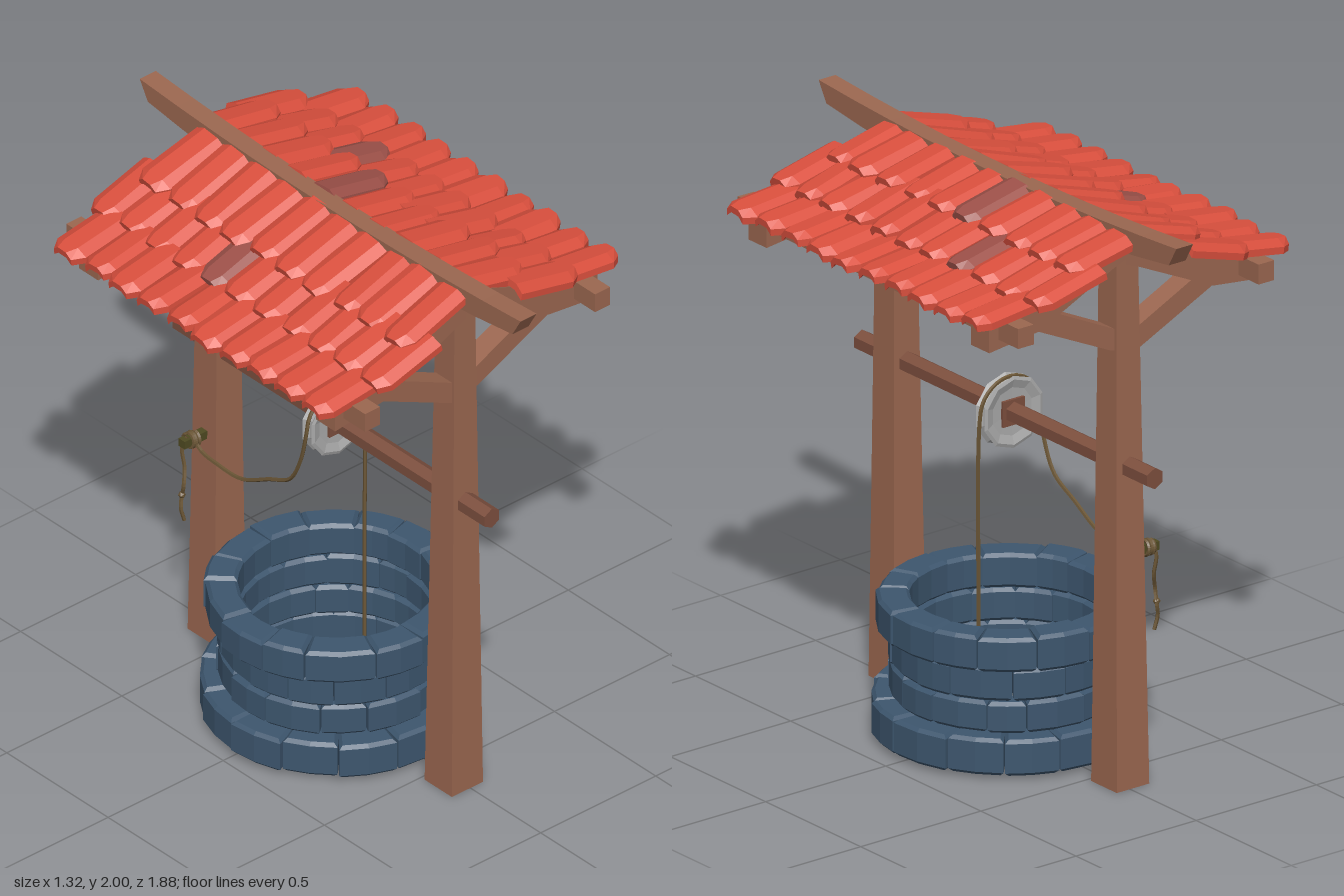
import * as THREE from 'three';

const mat = (color) => new THREE.MeshStandardMaterial({ color, flatShading: true });
const WOOD = mat(0x9b6750), DARK_WOOD = mat(0x7d4f3e), STONE = mat(0x3d566e), METAL = mat(0xaaaaaa);
const ROPE = mat(0x6b5636), CLEAT = mat(0x4f4a22), TILE = mat(0xd94f3d), OLD_TILE = mat(0x9c5048);

// small seeded generator, returns -1..1
let seed = 11;
const jitter = (a = 1) => {
  seed = (seed * 16807) % 2147483647;
  return (seed / 2147483647 * 2 - 1) * a;
};

function add(parent, name, geometry, material, x = 0, y = 0, z = 0) {
  const m = new THREE.Mesh(geometry, material);
  m.name = name;
  m.position.set(x, y, z);
  parent.add(m);
  return m;
}

const polygon = (pts) => new THREE.Shape(pts.map((p) => new THREE.Vector2(p[0], p[1])));

// flat outline extruded along z, centred on z = 0
function slab(pts, depth) {
  return new THREE.ExtrudeGeometry(polygon(pts), { depth, bevelEnabled: false }).translate(0, 0, -depth / 2);
}

// one curved stone block
function stoneGeometry(a0, a1, rIn, rOut, height) {
  const b = 0.012, pts = [];
  const g0 = a0 + (b + 0.002) / rOut, g1 = a1 - (b + 0.002) / rOut;
  for (let i = 0; i <= 2; i++) {
    const a = g0 + (g1 - g0) * i / 2;
    pts.push([Math.cos(a) * (rOut - b), Math.sin(a) * (rOut - b)]);
  }
  for (let i = 2; i >= 0; i--) {
    const a = g0 + (g1 - g0) * i / 2;
    pts.push([Math.cos(a) * (rIn + b), Math.sin(a) * (rIn + b)]);
  }
  return new THREE.ExtrudeGeometry(polygon(pts), {
    depth: height - 2 * b, bevelThickness: b, bevelSize: b, bevelSegments: 1,
  }).translate(0, 0, b).rotateX(-Math.PI / 2);
}

function buildWell() {
  const well = new THREE.Group();
  well.name = 'stoneWell';
  well.position.x = -0.01;
  const rings = [[0.015, 0.127, 0.33, 0.45], [0.142, 0.113, 0.32, 0.39],
    [0.255, 0.115, 0.32, 0.39], [0.37, 0.122, 0.32, 0.43]];
  const n = 14;
  rings.forEach(([y, h, rIn, rOut], row) => {
    const cuts = [];
    for (let i = 0; i < n; i++) cuts.push((i + row * 0.5 + jitter(0.15)) / n * Math.PI * 2);
    cuts.push(cuts[0] + Math.PI * 2);
    for (let i = 0; i < n; i++) {
      add(well, 'stoneBlock', stoneGeometry(cuts[i], cuts[i + 1], rIn + jitter(0.004),
        rOut + jitter(0.006), h + jitter(0.004)), STONE, 0, y, 0);
    }
  });
  return well;
}

// post that narrows towards the top
function postGeometry() {
  const g = new THREE.BoxGeometry(1, 1.88, 1, 1, 4, 1).translate(0, 0.94, 0);
  const p = g.attributes.position;
  for (let i = 0; i < p.count; i++) {
    const t = p.getY(i) / 1.88;
    p.setX(i, p.getX(i) * (0.135 - 0.045 * t) - 0.0125 + 0.0075 * t);
    p.setZ(i, p.getZ(i) * (0.135 - 0.043 * t));
  }
  return g;
}

function buildFrame() {
  const frame = new THREE.Group();
  frame.name = 'timberFrame';
  for (const end of [1, -1]) {
    const z = end * 0.585;
    add(frame, 'post', postGeometry(), WOOD, 0, 0, z);
    for (const s of [1, -1]) {
      const dy = s * 0.01, flip = (pts) => pts.map(([x, y]) => [x * s, y + dy]);
      // kinked rafter and its diagonal brace
      add(frame, 'rafter', slab(flip([[0, 1.85], [0.05, 1.83], [0.36, 1.685], [0.57, 1.66], [0.57, 1.765],
        [0.4, 1.785], [0.05, 1.925], [0, 1.94]]), 0.095), WOOD, 0, 0, z);
      add(frame, 'brace', slab(flip([[0.02, 1.53], [0.06, 1.54], [0.4, 1.70], [0.29, 1.73], [0.04, 1.61],
        [0.02, 1.6]]), 0.08), WOOD, 0, 0, z);
    }
  }
  for (const s of [1, -1]) {
    add(frame, 'purlin', new THREE.BoxGeometry(0.065, 0.07, 1.475), WOOD, s * 0.5, 1.732 + s * 0.012, 0);
  }
  // sagging ridge beam with slanted ends
  const top = [], bottom = [];
  for (let i = -5; i <= 5; i++) {
    const t = i / 5;
    top.push([0.94 * t, 1.965 + 0.035 * t * t]);
    bottom.unshift([0.9 * t, 1.865 + 0.065 * t * t]);
  }
  add(frame, 'ridgeBeam', slab([...bottom, ...top], 0.07).rotateY(-Math.PI / 2), WOOD);
  return frame;
}

// arched tile running along +x, with a clipped lower end
function tileGeometry(length, width) {
  const g = new THREE.BoxGeometry(length, 0.024, width, 2, 1, 3);
  const p = g.attributes.position;
  for (let i = 0; i < p.count; i++) {
    const x = p.getX(i), z = p.getZ(i);
    if (Math.abs(z) > width * 0.4) p.setY(i, p.getY(i) - 0.02);
    else p.setZ(i, z * 1.4);
    if (x > length * 0.4) p.setZ(i, p.getZ(i) * 0.6);
    else if (x > -length * 0.1) p.setX(i, length / 2 - 0.042);
  }
  return g;
}

function buildRoof() {
  const roof = new THREE.Group();
  roof.name = 'tiledRoof';
  // [side, inner x, inner y, outer x, outer y, first z, last z, count, faded tile]
  const courses = [
    [-1, 0.40, 1.803, 0.655, 1.765, -0.68, 0.67, 10, -1],
    [-1, 0.20, 1.882, 0.455, 1.805, -0.73, 0.73, 11, 4],
    [-1, 0.03, 1.955, 0.30, 1.872, -0.66, 0.67, 10, -1],
    [1, 0.40, 1.828, 0.65, 1.80, -0.69, 0.66, 10, -1],
    [1, 0.19, 1.905, 0.455, 1.84, -0.76, 0.70, 11, 3],
    [1, 0.03, 1.960, 0.28, 1.905, -0.71, 0.63, 10, 4],
  ];
  for (const [s, x0, y0, x1, y1, z0, z1, n, faded] of courses) {
    const side = new THREE.Group();
    side.name = 'tileCourse';
    if (s < 0) side.rotation.y = Math.PI;
    const pitch = (z1 - z0) / n;
    for (let i = 0; i < n; i++) {
      const z = s * (z0 + pitch * (i + 0.5));
      const t = add(side, 'roofTile', tileGeometry(Math.hypot(x1 - x0, y1 - y0), pitch * 1.04),
        i === faded ? OLD_TILE : TILE, (x0 + x1) / 2 + jitter(0.008), (y0 + y1) / 2 + jitter(0.005), z);
      t.rotation.set(jitter(0.12), jitter(0.03), Math.atan2(y1 - y0, x1 - x0) + jitter(0.025));
    }
    roof.add(side);
  }
  return roof;
}

function rope(parent, name, pts, segments) {
  const curve = new THREE.CatmullRomCurve3(pts.map((p) => new THREE.Vector3(...p)), false, 'centripetal');
  add(parent, name, new THREE.TubeGeometry(curve, segments, 0.007, 5, false), ROPE);
}

function buildWinch() {
  const winch = new THREE.Group();
  winch.name = 'winch';
  const cx = -0.01, cy = 1.127;
  add(winch, 'axle', new THREE.CylinderGeometry(0.037, 0.037, 1.54, 6).rotateX(Math.PI / 2), DARK_WOOD, cx, cy, 0);
  add(winch, 'wheelHub', new THREE.BoxGeometry(0.09, 0.09, 0.05), DARK_WOOD, cx, cy, -0.005);
  // grooved pulley wheel
  const profile = [[0.03, -0.014], [0.085, -0.016], [0.115, -0.026], [0.127, -0.022], [0.108, -0.006],
    [0.108, 0.006], [0.127, 0.022], [0.115, 0.026], [0.085, 0.016], [0.03, 0.014]];
  const wheel = new THREE.LatheGeometry(profile.map((p) => new THREE.Vector2(...p)), 10).rotateX(Math.PI / 2);
  add(winch, 'pulleyWheel', wheel, METAL, cx, cy, -0.005);
  // rope from the shaft, over the wheel, to the cleat
  const path = [[0.115, 0.2, 0], [0.115, 0.6, 0], [0.115, 1.0, 0]];
  for (let i = 0; i <= 8; i++) {
    const a = Math.PI * i / 8;
    path.push([cx + Math.cos(a) * 0.122, cy + Math.sin(a) * 0.118, -0.005]);
  }
  path.push([-0.132, 1.0, -0.035], [-0.13, 0.9, -0.09], [-0.127, 0.84, -0.2], [-0.125, 0.77, -0.34],
    [-0.125, 0.768, -0.45], [-0.12, 0.775, -0.54], [-0.12, 0.8, -0.57]);
  rope(winch, 'wellRope', path, 100);
  add(winch, 'cleat', new THREE.BoxGeometry(0.12, 0.03, 0.03), CLEAT, -0.105, 0.8, -0.585);
  // coils on the cleat and the loose tail
  const coil = [];
  for (let i = 0; i <= 24; i++) {
    const a = i / 24 * Math.PI * 6;
    coil.push([-0.105 - i / 24 * 0.035, 0.8 + Math.cos(a) * 0.024, -0.585 + Math.sin(a) * 0.024]);
  }
  rope(winch, 'ropeCoil', coil, 72);
  rope(winch, 'ropeTail', [[-0.14, 0.82, -0.585], [-0.15, 0.77, -0.6], [-0.148, 0.7, -0.59], [-0.165, 0.64, -0.575],
    [-0.16, 0.59, -0.59], [-0.168, 0.55, -0.585], [-0.158, 0.5, -0.58]], 30);
  add(winch, 'ropeKnot', new THREE.IcosahedronGeometry(0.013), ROPE, -0.164, 0.6, -0.585);
  return winch;
}

export function createModel() {
  const model = new THREE.Group();
  model.name = 'wishingWell';
  model.add(buildWell(), buildFrame(), buildRoof(), buildWinch());
  return model;
}
